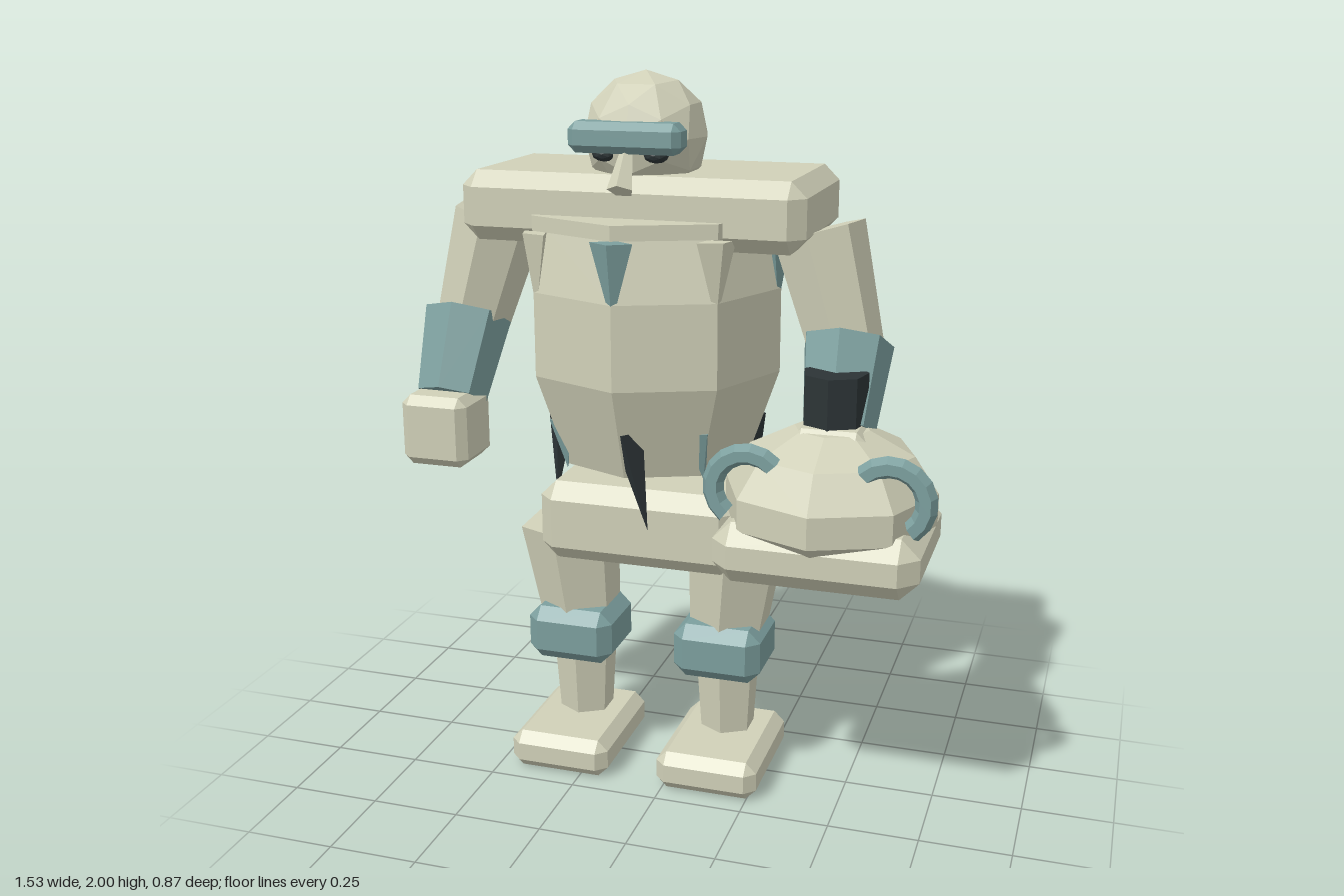
import * as THREE from 'three';
import { ConvexGeometry } from 'three/addons/geometries/ConvexGeometry.js';

const MID = -0.0925; // x of the body's plane of symmetry
const V = (x, y, z) => new THREE.Vector3(x, y, z);

export function createModel() {
  const model = new THREE.Group();
  model.name = 'robot';
  const cream = new THREE.MeshStandardMaterial({ color: 0xd0d0b8 });
  const teal = new THREE.MeshStandardMaterial({ color: 0x7c9f9e });
  const black = new THREE.MeshStandardMaterial({ color: 0x2c3436 });
  cream.name = 'cream';
  teal.name = 'teal';
  black.name = 'black';

  // faceted mesh
  function add(name, geo, mat, parent = model) {
    const g = geo.index ? geo.toNonIndexed() : geo;
    g.computeVertexNormals();
    const mesh = new THREE.Mesh(g, mat);
    mesh.name = name;
    parent.add(mesh);
    return mesh;
  }

  // box with all edges chamfered, given by its lower and upper corner
  function block(name, lo, hi, c, mat) {
    const mid = lo.clone().add(hi).multiplyScalar(0.5);
    const h = hi.clone().sub(lo).multiplyScalar(0.5);
    const pts = [];
    for (const sx of [-1, 1]) for (const sy of [-1, 1]) for (const sz of [-1, 1]) {
      pts.push(V(sx * h.x, sy * (h.y - c), sz * (h.z - c)));
      pts.push(V(sx * (h.x - c), sy * h.y, sz * (h.z - c)));
      pts.push(V(sx * (h.x - c), sy * (h.y - c), sz * h.z));
    }
    const mesh = add(name, new ConvexGeometry(pts), mat);
    mesh.position.copy(mid);
    return mesh;
  }

  // tapered limb between two points
  function limb(name, a, b, ra, rb, sides, mat) {
    const d = a.clone().sub(b);
    const mesh = add(name, new THREE.CylinderGeometry(ra, rb, d.length(), sides), mat);
    mesh.position.copy(a).add(b).multiplyScalar(0.5);
    mesh.quaternion.setFromUnitVectors(V(0, 1, 0), d.normalize());
    return mesh;
  }

  // turned shape with flat sides, profile runs from bottom to top
  function turned(name, profile, sides, mat, x, z) {
    const pts = profile.map(([r, y]) => new THREE.Vector2(r, y));
    const mesh = add(name, new THREE.LatheGeometry(pts, sides), mat);
    mesh.position.set(x, 0, z);
    return mesh;
  }

  // head, visor, eyes and nose
  add('head', new THREE.IcosahedronGeometry(0.168, 1), cream).position.set(-0.09, 1.833, 0.015);
  block('visor', V(-0.245, 1.8, 0.12), V(0.06, 1.88, 0.212), 0.02, teal);
  for (const s of [-1, 1]) {
    const eye = add('eye', new THREE.IcosahedronGeometry(0.035, 1), black);
    eye.position.set(-0.09 + s * 0.07, 1.795, 0.15);
    eye.scale.set(1, 0.6, 0.7);
  }
  limb('nose', V(-0.09, 1.82, 0.165), V(-0.09, 1.71, 0.228), 0.015, 0.036, 5, cream);

  // trunk
  block('shoulderBar', V(-0.565, 1.555, -0.288), V(0.38, 1.742, 0.193), 0.042, cream);
  turned('torso', [[0, 0.94], [0.27, 0.94], [0.36, 1.2], [0.36, 1.43], [0.32, 1.6], [0, 1.6]],
    8, cream, -0.09, -0.045);
  turned('collar', [[0, 1.595], [0.36, 1.595], [0.36, 1.635], [0, 1.635]], 8, cream, -0.09, -0.045);
  block('pelvis', V(-0.383, 0.64, -0.235), V(0.198, 0.87, 0.145), 0.045, cream);

  // spikes under the collar and blades around the waist
  for (let i = 0; i < 8; i++) {
    const ring = new THREE.Group();
    ring.name = 'trim';
    ring.position.set(-0.09, 0, -0.045);
    ring.rotation.y = -i * Math.PI / 4;
    model.add(ring);
    const spike = add('collarSpike', new THREE.ConeGeometry(1, 0.21, 4), i % 3 ? cream : teal, ring);
    spike.scale.set(0.058, 1, 0.035);
    spike.rotation.x = Math.PI;
    spike.position.set(0, 1.485, 0.352);
    const long = i % 2 === 0;
    const blade = add('waistBlade', new THREE.ConeGeometry(0.045, long ? 0.28 : 0.14, 4),
      long ? black : teal, ring);
    blade.rotation.set(0, 0, Math.PI + (long ? 0.2 : 0.1));
    blade.position.set(long ? 0.04 : 0, long ? 0.935 : 1.0, 0.275);
  }

  // arms and legs
  for (const s of [-1, 1]) {
    const X = (d) => MID + s * d;
    const span = (name, d, w, y0, y1, z0, z1, c, mat) =>
      block(name, V(X(d) - w / 2, y0, z0), V(X(d) + w / 2, y1, z1), c, mat);
    const elbow = V(X(0.545), 1.28, -0.03);
    limb('upperArm', V(X(0.457), 1.59, -0.05), elbow, 0.13, 0.105, 7, cream);
    limb('forearm', V(X(0.553), 1.3, -0.02), V(X(0.557), 1.09, 0.1), 0.125, 0.1, 7, teal);
    span('hand', 0.557, 0.195, 0.92, 1.12, 0.045, 0.24, 0.025, cream);
    limb('thigh', V(X(0.255), 0.71, -0.03), V(X(0.222), 0.37, -0.04), 0.145, 0.11, 6, cream);
    limb('shin', V(X(0.222), 0.42, -0.05), V(X(0.222), 0.08, -0.055), 0.1, 0.078, 6, cream);
    span('kneePad', 0.222, 0.255, 0.308, 0.468, -0.135, 0.107, 0.035, teal);
    span('foot', 0.222, 0.295, 0, 0.112, -0.19, 0.206, 0.03, cream);
  }

  // carried pot on its base
  const px = 0.46, pz = 0.15;
  block('potBase', V(0.19, 0.727, -0.078), V(0.732, 0.89, 0.388), 0.05, cream);
  turned('pot', [[0, 0.8], [0.22, 0.82], [0.285, 0.87], [0.285, 0.955], [0.22, 1.05], [0.1, 1.11], [0, 1.11]],
    8, cream, px, pz);
  limb('potNeck', V(px, 1.253, 0.13), V(px, 1.08, 0.13), 0.088, 0.088, 7, black);
  for (const s of [-1, 1]) {
    const handle = add('potHandle', new THREE.TorusGeometry(0.092, 0.029, 6, 9, Math.PI * 1.05), teal);
    handle.position.set(px + s * 0.185, 0.975, 0.308);
    handle.rotation.z = s < 0 ? Math.PI * 0.24 : -Math.PI * 0.29;
  }

  return model;
}
